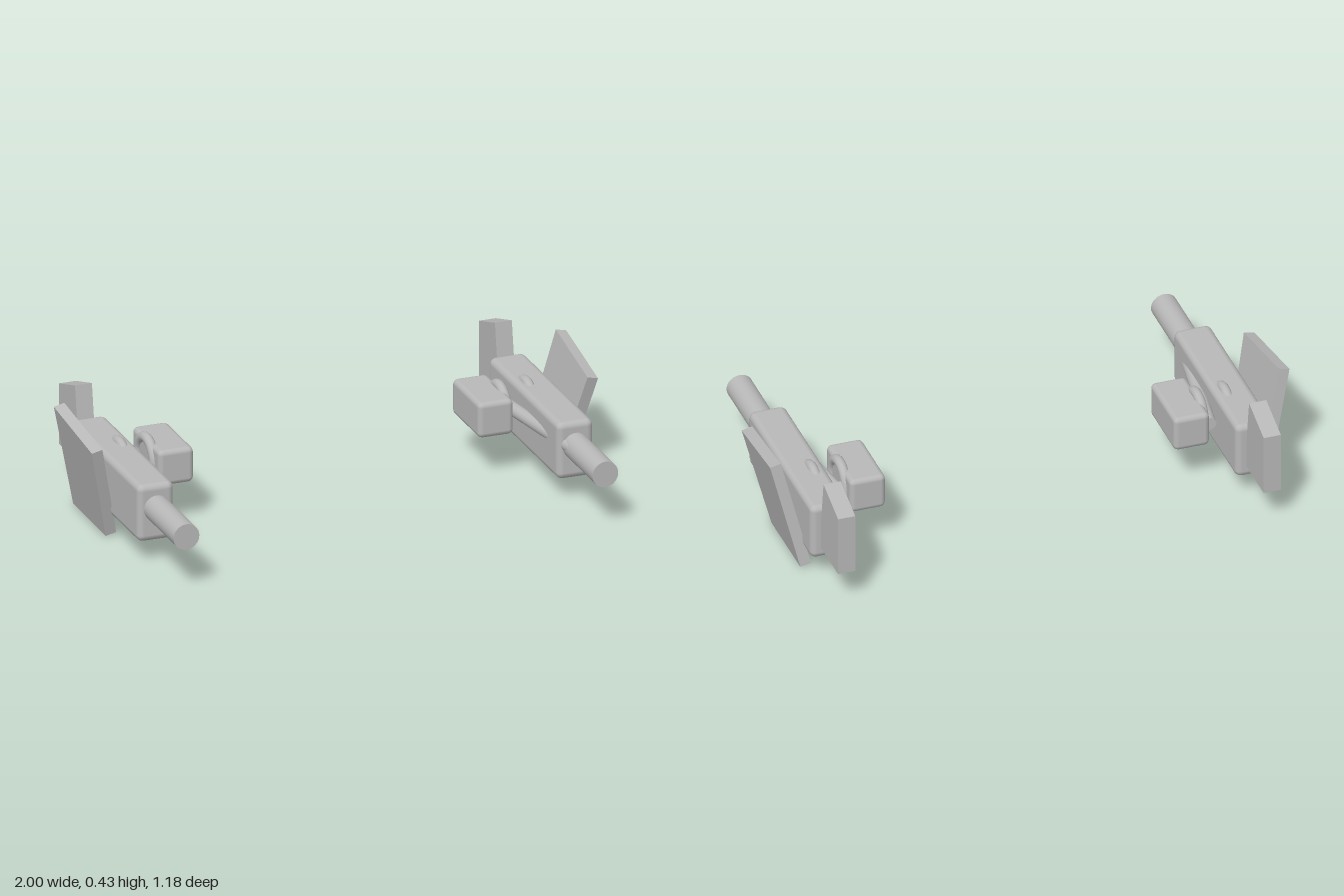
import * as THREE from 'three';
import { RoundedBoxGeometry } from 'three/addons/geometries/RoundedBoxGeometry.js';

const grey = new THREE.MeshStandardMaterial({ color: 0xb8b8b8 });

function part(group, name, geometry, x = 0, y = 0, z = 0) {
  const mesh = new THREE.Mesh(geometry, grey);
  mesh.name = name;
  mesh.position.set(x, y, z);
  group.add(mesh);
  return mesh;
}

// Flat slab from a side outline of [z, y] points, centred on x = 0
function slab(points, thickness) {
  const shape = new THREE.Shape(points.map(([z, y]) => new THREE.Vector2(-z, y)));
  return new THREE.ExtrudeGeometry(shape, { depth: thickness, bevelEnabled: false })
    .translate(0, 0, -thickness / 2)
    .rotateY(Math.PI / 2);
}

// Straight round rod between two points
function rod(a, b, radius) {
  const dir = b.clone().sub(a);
  const turn = new THREE.Quaternion().setFromUnitVectors(
    new THREE.Vector3(0, 1, 0), dir.clone().normalize());
  const mid = a.clone().add(b).multiplyScalar(0.5);
  return new THREE.CylinderGeometry(radius, radius, dir.length(), 24)
    .applyQuaternion(turn)
    .translate(mid.x, mid.y, mid.z);
}

// One blaster; s is +1 for the left and -1 for the right
function blaster(s) {
  const g = new THREE.Group();
  g.name = s > 0 ? 'leftBlaster' : 'rightBlaster';

  part(g, 'body', new RoundedBoxGeometry(0.142, 0.222, 0.695, 2, 0.025), s * 0.817, 0.192, -0.053);
  part(g, 'barrel', new THREE.CylinderGeometry(0.05, 0.05, 0.39, 32).rotateX(Math.PI / 2),
    s * 0.816, 0.21, 0.395);

  // Rear stock
  part(g, 'stock', slab([[-0.385, 0.128], [-0.59, 0.128], [-0.59, 0.365], [-0.43, 0.418]], 0.066),
    s * 0.818, 0, 0);

  // Outer shield plate, leaning outward at the top
  const lean = 0.23;
  const outline = [[0, 0], [-0.32, 0.005], [-0.265, 0.42], [0.083, 0.367]]
    .map(([z, y]) => [z, y / Math.cos(lean)]);
  const plate = slab(outline, 0.042).translate(-s * 0.021, 0, 0).rotateZ(-s * lean);
  part(g, 'shieldPlate', plate, s * 0.9, 0, 0);

  // Inner side pod with its two mounting rings
  part(g, 'sidePod', new RoundedBoxGeometry(0.138, 0.138, 0.272, 2, 0.02), s * 0.623, 0.228, -0.136);
  for (const x of [0.687, 0.792]) {
    part(g, 'mountRing', new THREE.TorusGeometry(0.079, 0.019, 12, 32).rotateY(Math.PI / 2),
      s * x, 0.222, -0.137);
  }

  // Slanted strut from the pod to the barrel
  part(g, 'strut', rod(
    new THREE.Vector3(s * 0.707, 0.217, -0.22),
    new THREE.Vector3(s * 0.802, 0.217, 0.4), 0.025));
  return g;
}

export function createModel() {
  const model = new THREE.Group();
  model.name = 'blasterPair';
  for (const s of [1, -1]) model.add(blaster(s));
  return model;
}
